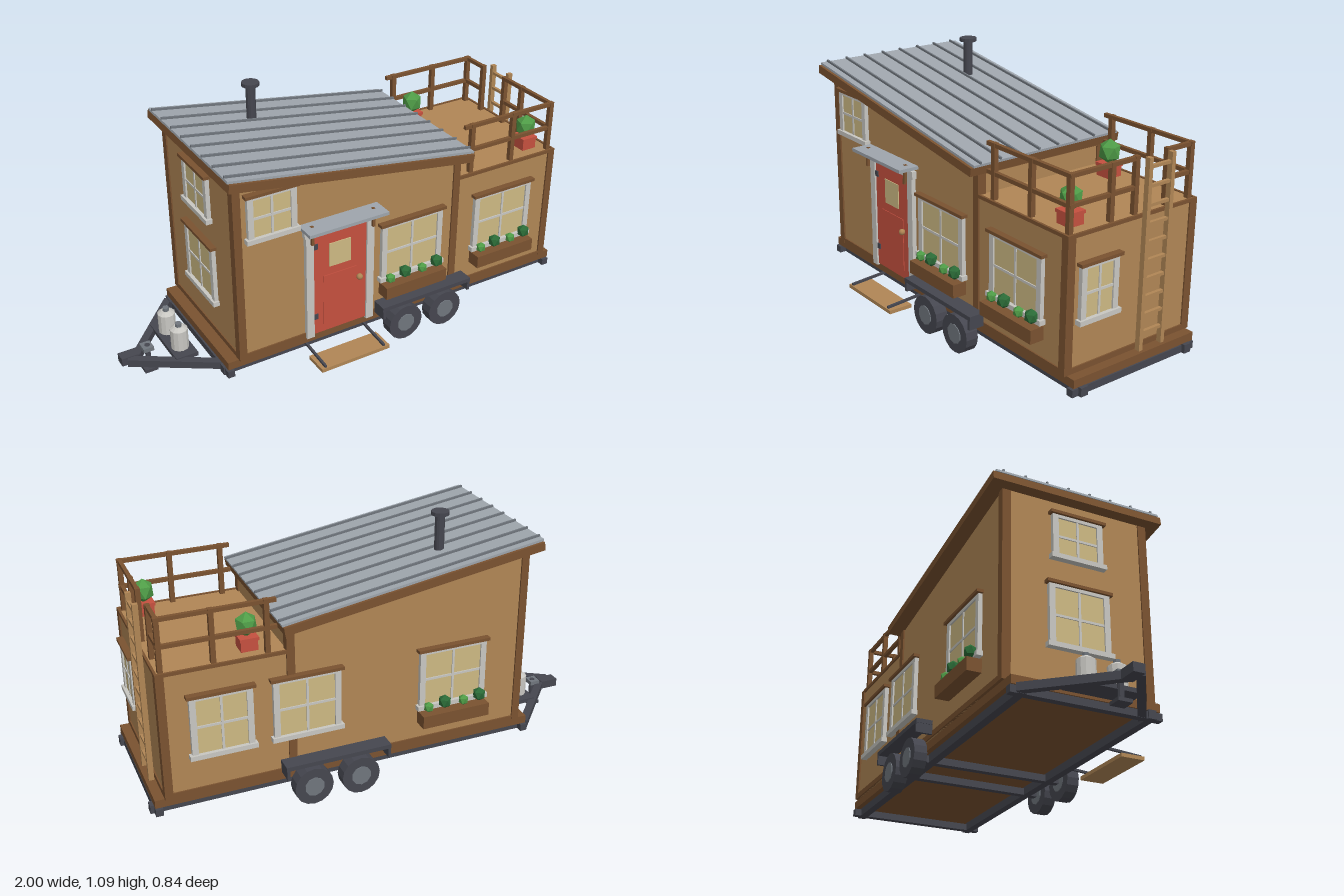
import * as THREE from 'three';

const mat = (name, color) => {
  const m = new THREE.MeshStandardMaterial({ color });
  m.name = name;
  return m;
};

export function createModel() {
  const siding = mat('cedar siding', 0xb08655);
  const timber = mat('dark timber', 0x7a5230);
  const roofMetal = mat('roof metal', 0x9ea5ac);
  const seam = mat('seam grey', 0x70767d);
  const trim = mat('pale trim', 0xc8c7c2);
  const red = mat('brick red', 0xc5503f);
  const glass = mat('warm glass', 0xcdb983);
  const steel = mat('dark steel', 0x45464f);
  const leaf = mat('light leaf', 0x4f9c47);
  const darkLeaf = mat('dark leaf', 0x2b6b37);

  const model = new THREE.Group();
  model.name = 'tinyHouseOnTrailer';
  model.position.z = -0.035;
  const HALF = 0.313; // half depth of the walls

  const group = (name, parent = model) => {
    const g = new THREE.Group();
    g.name = name;
    parent.add(g);
    return g;
  };
  const add = (name, geo, m, parent = model) => {
    const mesh = new THREE.Mesh(geo, m);
    mesh.name = name;
    parent.add(mesh);
    return mesh;
  };
  // Box given by its limits on each axis
  const box = (name, m, x0, x1, y0, y1, z0, z1, parent) => {
    const b = add(name, new THREE.BoxGeometry(x1 - x0, y1 - y0, z1 - z0), m, parent);
    b.position.set((x0 + x1) / 2, (y0 + y1) / 2, (z0 + z1) / 2);
    return b;
  };
  // Faceted upright cylinder
  const cyl = (name, m, r0, r1, h, sides, x, y, z, parent) => {
    const geo = new THREE.CylinderGeometry(r0, r1, h, sides).toNonIndexed();
    geo.computeVertexNormals();
    const c = add(name, geo, m, parent);
    c.position.set(x, y, z);
    return c;
  };
  // Square bar between two points
  const bar = (name, m, a, b, w, parent) => {
    const p = new THREE.Vector3(...a), q = new THREE.Vector3(...b);
    const mesh = add(name, new THREE.BoxGeometry(w, w, p.distanceTo(q)), m, parent);
    mesh.position.copy(p).add(q).multiplyScalar(0.5);
    mesh.lookAt(q);
    return mesh;
  };
  // Icosahedron with one corner pointing up
  const bush = (m, r, x, y, z, parent) => {
    const geo = new THREE.IcosahedronGeometry(r, 0).rotateX(-1.0172).scale(1, 1.12, 1);
    add('foliage', geo, m, parent).position.set(x, y, z);
  };

  // Trailer chassis
  const chassis = group('chassis');
  for (const s of [-1, 1]) {
    box('mainRail', steel, -0.67, 0.995, 0.07, 0.106, s * 0.267 - 0.017, s * 0.267 + 0.017, chassis);
    bar('tongueArm', steel, [-0.65, 0.087, s * 0.268], [-0.955, 0.087, 0], 0.032, chassis);
  }
  for (const x of [-0.65, 0.147, 0.35, 0.965])
    box('crossMember', steel, x - 0.015, x + 0.015, 0.07, 0.1, -HALF, HALF, chassis);
  box('coupler', steel, -1, -0.92, 0.07, 0.106, -0.024, 0.024, chassis);
  cyl('jackPost', steel, 0.012, 0.012, 0.12, 8, -0.88, 0.06, 0, chassis);
  box('jackFoot', steel, -0.908, -0.852, 0, 0.014, -0.029, 0.029, chassis);
  box('jackHead', seam, -0.905, -0.86, 0.1, 0.118, -0.025, 0.025, chassis);
  box('tankTray', steel, -0.81, -0.714, 0.09, 0.108, -0.137, 0.137, chassis);
  for (const s of [-1, 1]) {
    cyl('gasTank', trim, 0.037, 0.037, 0.09, 12, -0.762, 0.153, s * 0.064, chassis);
    cyl('tankShoulder', trim, 0.02, 0.037, 0.012, 12, -0.762, 0.204, s * 0.064, chassis);
    cyl('tankValve', seam, 0.014, 0.014, 0.018, 8, -0.762, 0.216, s * 0.064, chassis);
  }

  // Tandem wheels and fenders
  for (const s of [-1, 1]) {
    const running = group('runningGear');
    for (const x of [0.147, 0.35]) {
      cyl('tyre', steel, 0.082, 0.082, 0.055, 16, x, 0.082, s * 0.346, running).rotation.x = Math.PI / 2;
      cyl('hub', seam, 0.042, 0.042, 0.062, 10, x, 0.082, s * 0.346, running).rotation.x = Math.PI / 2;
    }
    const z0 = s > 0 ? 0.318 : -0.387, z1 = s > 0 ? 0.387 : -0.318;
    box('fenderTop', steel, 0.02, 0.47, 0.188, 0.206, z0, z1, running);
    for (const x of [0.022, 0.456]) box('fenderEnd', steel, x, x + 0.012, 0.148, 0.19, z0, z1, running);
  }

  // Floor and walls
  box('floorDeck', timber, -0.66, 0.98, 0.105, 0.14, -0.307, 0.307);
  const roofY = (x) => 0.985 - 0.1534 * (x + 0.645);
  const side = new THREE.Shape();
  side.moveTo(-0.607, 0.14);
  side.lineTo(0.427, 0.14);
  side.lineTo(0.427, roofY(0.427) - 0.035);
  side.lineTo(-0.607, roofY(-0.607) - 0.035);
  const cabinGeo = new THREE.ExtrudeGeometry(side, { depth: 2 * HALF, bevelEnabled: false });
  add('cabinWalls', cabinGeo.translate(0, 0, -HALF), siding);
  box('lowWing', siding, 0.42, 0.935, 0.14, 0.68, -HALF, HALF);
  box('baseTrim', timber, -0.612, 0.941, 0.14, 0.163, -0.319, 0.319);
  for (const s of [-1, 1]) {
    const post = (x0, x1, top) =>
      box('cornerBoard', timber, x0, x1, 0.14, top, s * 0.302 - 0.018, s * 0.302 + 0.018);
    post(-0.613, -0.58, 0.93);
    post(0.4, 0.433, 0.785);
    post(0.908, 0.941, 0.68);
    box('wingEdge', timber, 0.43, 0.941, 0.67, 0.684, s * 0.315 - 0.005, s * 0.315 + 0.005);
  }
  box('wingEndEdge', timber, 0.931, 0.941, 0.67, 0.684, -0.32, 0.32);
  box('cabinEndEdge', timber, 0.42, 0.434, 0.76, 0.785, -0.3, 0.3);

  // Sloping metal roof with standing seams
  const roof = group('roof');
  roof.position.set(-0.091, 0.9, 0);
  roof.rotation.z = -Math.atan(0.1534);
  const L = 0.558;
  box('roofFrame', timber, -L, L, -0.045, -0.01, -0.374, 0.374, roof);
  box('roofSheet', roofMetal, -L - 0.003, L + 0.003, -0.01, 0, -0.362, 0.362, roof);
  for (let i = 0; i < 8; i++) {
    const z = -0.33 + i * 0.0943;
    box('roofSeam', seam, -L - 0.003, L + 0.003, 0, 0.009, z - 0.004, z + 0.004, roof);
  }
  cyl('stovePipe', steel, 0.02, 0.02, 0.17, 12, -0.28, 0.995, -0.167);
  cyl('pipeCap', steel, 0.037, 0.037, 0.015, 12, -0.28, 1.083, -0.167);

  // Window facing +z, then turned to its wall; planter optional
  const windowUnit = (name, w, y0, y1, x, z, turn, planter) => {
    const g = group(name);
    g.position.set(x, 0, z);
    g.rotation.y = turn;
    const a = w / 2, f = 0.025, mid = (y0 + y1) / 2;
    box('pane', glass, -a, a, y0, y1, 0.004, 0.011, g);
    for (const s of [-1, 1])
      box('frameSide', trim, s * (a + f / 2) - f / 2, s * (a + f / 2) + f / 2, y0, y1, 0, 0.018, g);
    box('frameTop', trim, -a - f, a + f, y1, y1 + 0.018, 0, 0.018, g);
    box('sill', trim, -a - 0.035, a + 0.035, y0 - 0.02, y0, 0, 0.027, g);
    box('lintel', timber, -a - 0.036, a + 0.036, y1 + 0.014, y1 + 0.027, 0, 0.028, g);
    box('mullion', trim, -0.005, 0.005, y0, y1, 0.009, 0.015, g);
    box('glazingBar', trim, -a, a, mid - 0.005, mid + 0.005, 0.009, 0.015, g);
    if (!planter) return;
    box('planterBox', timber, -a - 0.026, a + 0.026, 0.234, 0.29, 0, 0.062, g);
    [-0.115, -0.042, 0.045, 0.118].forEach((px, i) =>
      bush(i % 2 ? darkLeaf : leaf, i % 2 ? 0.028 : 0.022, px, i % 2 ? 0.326 : 0.315, 0.032, g));
  };
  const back = Math.PI;
  windowUnit('loftWindow', 0.16, 0.695, 0.858, -0.452, HALF, 0);
  windowUnit('frontCabinWindow', 0.25, 0.32, 0.55, 0.195, HALF, 0, true);
  windowUnit('frontWingWindow', 0.25, 0.32, 0.55, 0.665, HALF, 0, true);
  windowUnit('backWingWindow', 0.2, 0.32, 0.55, 0.7, -HALF, back);
  windowUnit('backCornerWindow', 0.23, 0.32, 0.55, 0.355, -HALF, back);
  windowUnit('backCabinWindow', 0.25, 0.32, 0.55, -0.28, -HALF, back, true);
  windowUnit('wingEndWindow', 0.13, 0.352, 0.545, 0.935, 0.17, Math.PI / 2);
  windowUnit('cabinEndLowWindow', 0.21, 0.32, 0.55, -0.607, 0, -Math.PI / 2);
  windowUnit('cabinEndLoftWindow', 0.17, 0.695, 0.858, -0.607, 0, -Math.PI / 2);

  // Front door, canopy and step
  const door = group('frontDoor');
  box('doorLeaf', red, -0.278, -0.03, 0.15, 0.622, HALF, 0.325, door);
  box('doorPane', glass, -0.205, -0.105, 0.458, 0.565, 0.323, 0.329, door);
  box('doorPanel', red, -0.232, -0.075, 0.185, 0.42, 0.323, 0.328, door);
  for (const x of [-0.312, -0.03]) box('doorJamb', trim, x, x + 0.034, 0.142, 0.625, HALF, 0.333, door);
  box('doorHead', trim, -0.318, 0.01, 0.622, 0.655, HALF, 0.333, door);
  for (const y of [0.235, 0.57]) box('hinge', steel, -0.278, -0.258, y - 0.012, y + 0.012, 0.322, 0.33, door);
  const knob = add('doorKnob', new THREE.IcosahedronGeometry(0.014, 1), siding, door);
  knob.position.set(-0.067, 0.37, 0.338);
  box('canopy', roofMetal, -0.335, 0.025, 0.668, 0.682, HALF, 0.405, door);
  for (const x of [-0.295, -0.015]) {
    bar('canopyBrace', timber, [x, 0.667, 0.385], [x, 0.62, 0.318], 0.012, door);
    bar('stepArm', steel, [x, 0.09, 0.28], [x, 0.072, 0.452], 0.01, door);
  }
  box('step', siding, -0.315, 0.01, 0.054, 0.07, 0.35, 0.457, door);

  // Roof terrace railing, open where the ladder arrives
  const rail = group('terraceRailing');
  const post = (x, z) => box('railPost', timber, x - 0.01, x + 0.01, 0.68, 0.902, z - 0.01, z + 0.01, rail);
  for (const s of [-1, 1]) for (const x of [0.5, 0.713, 0.915]) post(x, s * 0.295);
  for (const z of [0.102, -0.015, -0.173]) post(0.915, z);
  for (const y of [0.775, 0.885]) {
    for (const s of [-1, 1])
      box('sideRail', timber, 0.46, 0.927, y, y + 0.016, s * 0.295 - 0.008, s * 0.295 + 0.008, rail);
    box('endRail', timber, 0.907, 0.923, y, y + 0.016, -0.015, 0.295, rail);
    box('endRailShort', timber, 0.907, 0.923, y, y + 0.016, -0.295, -0.173, rail);
  }

  // Ladder
  const ladder = group('ladder');
  for (const z of [-0.038, -0.152]) box('ladderRail', siding, 0.945, 0.967, 0.14, 0.902, z - 0.009, z + 0.009, ladder);
  for (let i = 0; i < 10; i++) {
    const y = 0.21 + i * 0.0728;
    box('rung', siding, 0.949, 0.963, y - 0.006, y + 0.006, -0.15, -0.04, ladder);
  }

  // Potted shrubs on the terrace
  for (const [x, z] of [[0.56, -0.23], [0.845, 0.228]]) {
    const g = group('pottedShrub');
    box('pot', red, x - 0.034, x + 0.034, 0.68, 0.725, z - 0.034, z + 0.034, g);
    box('potRim', red, x - 0.038, x + 0.038, 0.722, 0.735, z - 0.038, z + 0.038, g);
    bush(leaf, 0.046, x, 0.78, z, g);
  }
  return model;
}
